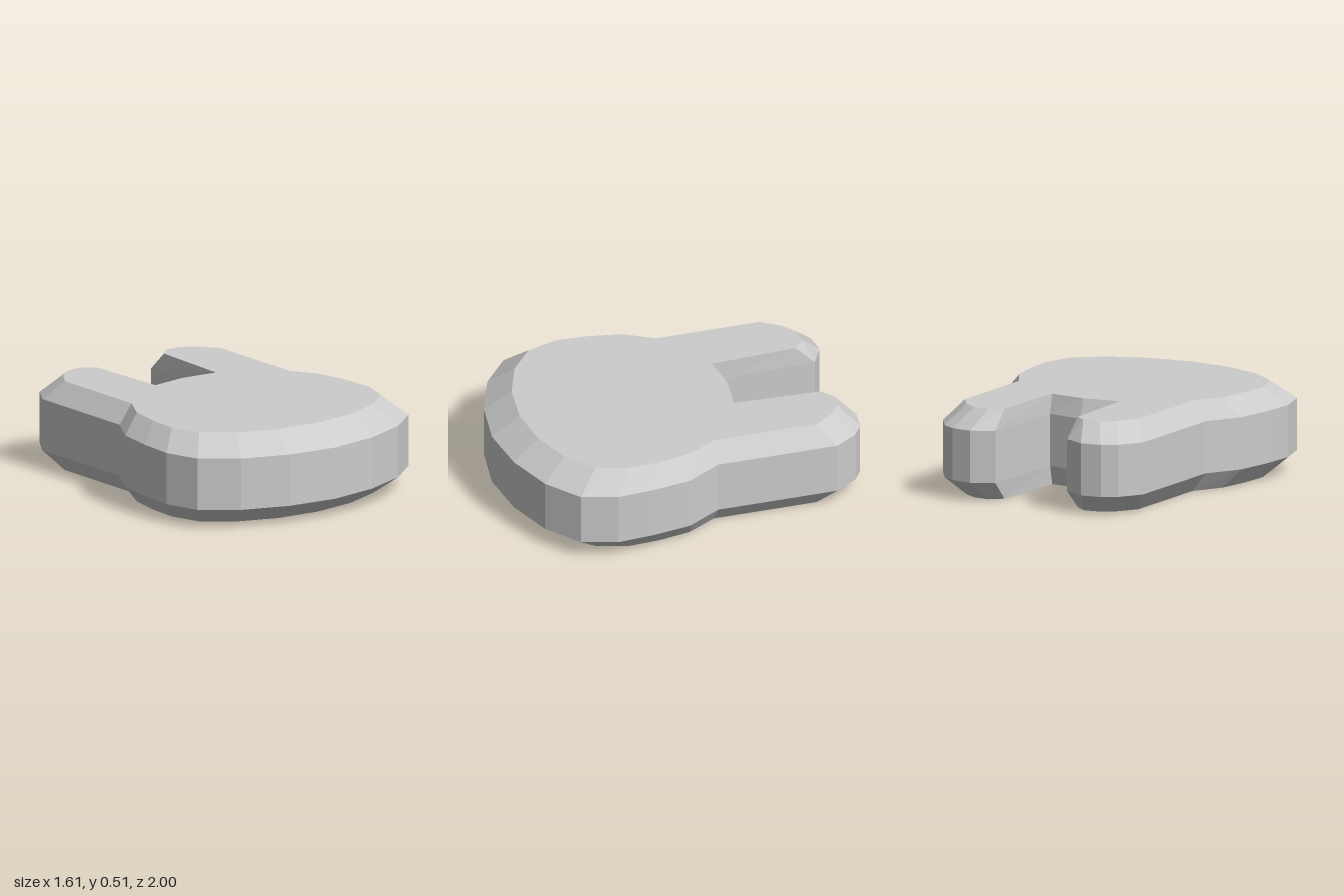
import * as THREE from 'three';

// Half outlines [x, z], from the chin round the left cheek and ear to the notch between the ears
const OUTER = [
  [0, 1], [0.29, 0.96], [0.555, 0.86], [0.745, 0.71], [0.805, 0.51], [0.79, 0.3], [0.755, 0.08],
  [0.64, -0.115], [0.64, -0.805], [0.555, -0.935], [0.475, -0.985], [0.355, -1], [0.23, -0.935],
  [0.21, -0.365], [0, -0.4],
];
const INNER = [
  [0, 0.84], [0.255, 0.81], [0.48, 0.725], [0.64, 0.595], [0.695, 0.42], [0.685, 0.24], [0.65, 0.05],
  [0.555, -0.115], [0.555, -0.71], [0.48, -0.82], [0.4, -0.875], [0.305, -0.885], [0.235, -0.825],
  [0.214, -0.335], [0, -0.362],
];

// Mirror a half outline into a closed ring, counter-clockwise from above
function ring(half) {
  const mirrored = half.slice(1, -1).reverse().map(([x, z]) => [-x, z]);
  return [...half, ...mirrored];
}

// Join equal-length rings at rising heights and cap both ends
function loft(layers) {
  const n = layers[0].points.length;
  const positions = layers.flatMap(({ points, y }) => points.flatMap(([x, z]) => [x, y, z]));
  const index = [];
  for (let k = 0; k < layers.length - 1; k++) {
    for (let i = 0; i < n; i++) {
      const j = (i + 1) % n;
      const a = k * n + i, b = k * n + j, c = b + n, d = a + n;
      index.push(a, b, c, a, c, d);
    }
  }
  const top = (layers.length - 1) * n;
  const flat = layers[0].points.map(([x, z]) => new THREE.Vector2(x, -z));
  for (const [a, b, c] of THREE.ShapeUtils.triangulateShape(flat, [])) {
    index.push(a, c, b, top + a, top + b, top + c);
  }
  const indexed = new THREE.BufferGeometry();
  indexed.setAttribute('position', new THREE.Float32BufferAttribute(positions, 3));
  indexed.setIndex(index);
  const geometry = indexed.toNonIndexed();
  geometry.computeVertexNormals();
  return geometry;
}

export function createModel() {
  const group = new THREE.Group();
  group.name = 'rabbitHead';
  const material = new THREE.MeshStandardMaterial({ color: 0xcccccc, flatShading: true });

  // Thick rabbit-head slab, bevelled above and below
  const outer = ring(OUTER);
  const inner = ring(INNER);
  const slab = new THREE.Mesh(loft([
    { points: inner, y: 0 },
    { points: outer, y: 0.108 },
    { points: outer, y: 0.402 },
    { points: inner, y: 0.51 },
  ]), material);
  slab.name = 'headWithEars';
  group.add(slab);
  return group;
}
